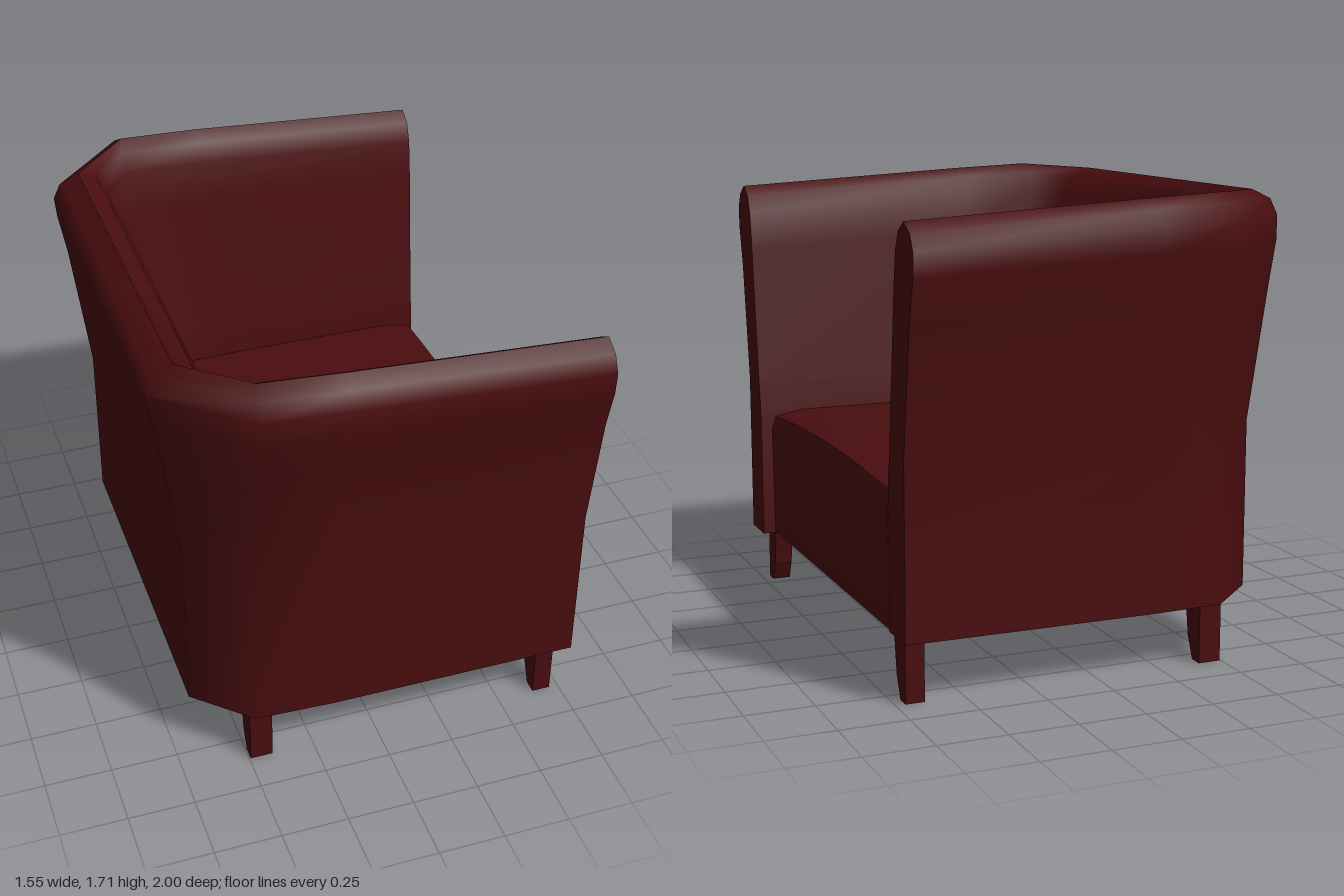
import * as THREE from 'three';
import { toCreasedNormals } from 'three/addons/utils/BufferGeometryUtils.js';

const BASE_Y = 0.22;
const FRONT_LEFT = 0.772;
const FRONT_RIGHT = 0.725;

// Wall section, up the outside, over the rim and down the inside:
// [height, x of the back, half width, corner cut]
const LEVELS = [
  [BASE_Y, -0.68, 0.89, 0.2],
  [0.85, -0.68, 0.89, 0.2],
  [1.35, -0.74, 0.957, 0.24],
  [1.52, -0.77, 0.995, 0.28],
  [1.61, -0.78, 1.0, 0.3],
  [1.67, -0.755, 0.97, 0.28],
  [1.705, -0.68, 0.91, 0.22],
  [1.67, -0.61, 0.855, 0.14],
  [1.6, -0.575, 0.825, 0.11],
  [1.45, -0.535, 0.805, 0.1],
  [0.85, -0.37, 0.745, 0.06],
  [0.73, -0.35, 0.725, 0.05],
  [BASE_Y, -0.35, 0.725, 0.05],
];

// Plan outline of one level, from one arm front round the back to the other
function outline([, back, half, cut]) {
  return [
    [FRONT_LEFT, half],
    [back + cut + 0.3, half],
    [back + cut, half - 0.012],
    [back, half - cut],
    [back, -(half - cut)],
    [back + cut, -(half - 0.012)],
    [back + cut + 0.3, -half],
    [FRONT_RIGHT, -half],
  ];
}

// Arms and back as one continuous wall, its rim dropping towards the front
function wallGeometry() {
  const positions = [];
  const index = [];
  const rows = LEVELS.length;
  const plans = LEVELS.map(outline);
  const stations = plans[0].length;
  for (let s = 0; s < stations; s++) {
    for (let l = 0; l < rows; l++) {
      const [x, z] = plans[l][s];
      const weight = THREE.MathUtils.clamp((LEVELS[l][0] - 0.9) / 0.7, 0, 1);
      const drop = 0.065 * weight * Math.max(0, x + 0.4) / 1.17;
      const sag = x < -0.5 ? 0.012 * weight : 0;
      positions.push(x, LEVELS[l][0] - drop - sag, z);
    }
  }
  const quad = (a, b, c, d) => index.push(a, b, c, c, b, d);
  for (let s = 0; s < stations - 1; s++) {
    for (let l = 0; l < rows - 1; l++) {
      const a = s * rows + l;
      quad(a, a + 1, a + rows, a + rows + 1);
    }
  }
  // Flat arm fronts
  const last = (stations - 1) * rows;
  for (let l = 0; l < (rows - 1) / 2; l++) {
    const m = rows - 1 - l;
    quad(l, m, l + 1, m - 1);
    quad(last + m, last + l, last + m - 1, last + l + 1);
  }
  const geometry = new THREE.BufferGeometry();
  geometry.setAttribute('position', new THREE.Float32BufferAttribute(positions, 3));
  geometry.setIndex(index);
  return toCreasedNormals(geometry, 0.9);
}

function shapeFrom(points) {
  return new THREE.Shape(points.map(([x, y]) => new THREE.Vector2(x, y)));
}

// Seat block with a softened front edge and a crowned top
function seatGeometry() {
  const half = 0.724;
  const profile = shapeFrom([
    [-0.33, BASE_Y + 0.005], [0.722, BASE_Y + 0.005], [0.727, 0.66],
    [0.71, 0.71], [0.6, 0.732], [-0.33, 0.732],
  ]);
  const geometry = new THREE.ExtrudeGeometry(profile, { depth: half * 2, steps: 8, bevelEnabled: false });
  geometry.translate(0, 0, -half);
  const p = geometry.attributes.position;
  for (let i = 0; i < p.count; i++) {
    if (p.getY(i) > 0.6) p.setY(i, p.getY(i) + 0.028 * (1 - (p.getZ(i) / half) ** 2));
  }
  return toCreasedNormals(geometry, 0.75);
}

// Leg with a straight outer face and an inner face curving in at the foot
function legGeometry(width) {
  const profile = shapeFrom([
    [0.855, 0.225], [0.855, 0], [0.803, 0], [0.767, 0.08], [0.745, 0.225],
  ]);
  const geometry = new THREE.ExtrudeGeometry(profile, { depth: width, bevelEnabled: false });
  geometry.translate(0, 0, -width / 2);
  geometry.rotateY(-Math.PI / 2);
  return geometry;
}

export function createModel() {
  const model = new THREE.Group();
  model.name = 'armchair';
  const leather = new THREE.MeshStandardMaterial({ color: 0x4a0d0f });
  leather.name = 'dark red leather';

  const add = (name, geometry) => {
    const mesh = new THREE.Mesh(geometry, leather);
    mesh.name = name;
    model.add(mesh);
    return mesh;
  };

  add('armsAndBack', wallGeometry());
  add('seat', seatGeometry());

  // Underside panel
  const panel = new THREE.ShapeGeometry(shapeFrom(outline(LEVELS[0])));
  panel.rotateX(Math.PI / 2);
  add('underside', panel).position.y = BASE_Y;

  // Four legs, the rear pair a little wider
  for (const [end, x, width] of [['front', 0.68, 0.07], ['back', -0.453, 0.085]]) {
    for (const [side, turn] of [['Left', 0], ['Right', Math.PI]]) {
      const leg = add(`${end}${side}Leg`, legGeometry(width));
      leg.position.x = x;
      leg.rotation.y = turn;
    }
  }
  return model;
}
